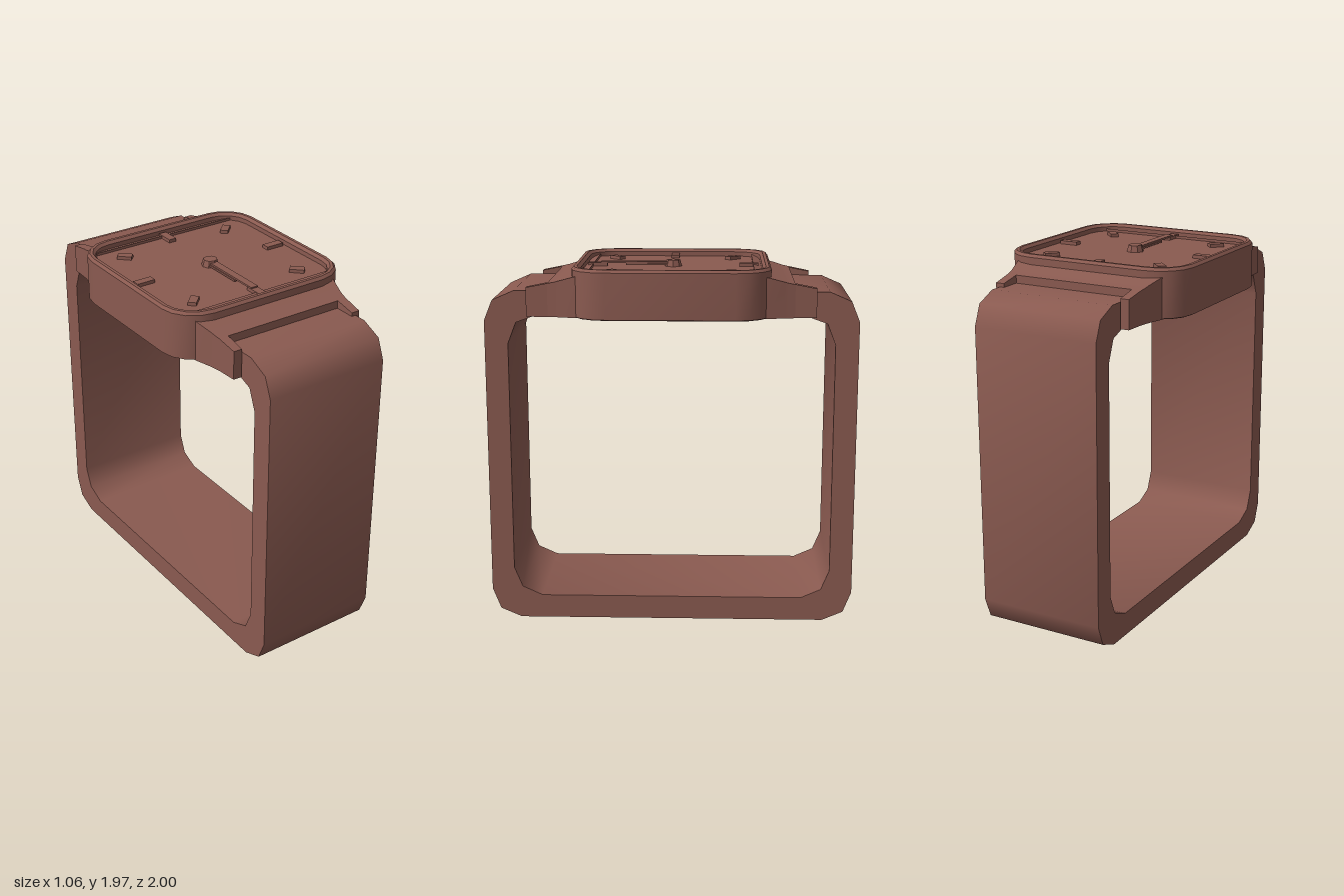
import * as THREE from 'three';
import { toCreasedNormals } from 'three/addons/utils/BufferGeometryUtils.js';

const material = new THREE.MeshStandardMaterial({ color: 0x8a5a50 });
const DIAL_Y = 1.93;

function addMesh(parent, name, geometry) {
  const mesh = new THREE.Mesh(geometry, material);
  mesh.name = name;
  parent.add(mesh);
  return mesh;
}

// Rounded-square loop of half size h, its corner radius shrinking with h
function roundedSquare(h, segments = 4) {
  const r = Math.min(h, Math.max(0.19 - (0.53 - h), 0.005));
  const points = [];
  for (let q = 0; q < 4; q++) {
    const mid = (q + 0.5) * Math.PI / 2;
    const cx = Math.sign(Math.cos(mid)) * (h - r);
    const cz = Math.sign(Math.sin(mid)) * (h - r);
    for (let i = 0; i <= segments; i++) {
      const a = (q + i / segments) * Math.PI / 2;
      points.push([cx + r * Math.cos(a), cz + r * Math.sin(a)]);
    }
  }
  return points;
}

// Case with rim and sunken dial, lofted from [half size, y] steps
function caseGeometry() {
  const profile = [
    [0.001, 1.705], [0.52, 1.705], [0.53, 1.71], [0.53, 1.955], [0.517, 1.97],
    [0.5, 1.97], [0.485, 1.955], [0.485, DIAL_Y], [0.001, DIAL_Y],
  ];
  const positions = [], indices = [];
  const n = roundedSquare(0.5).length;
  for (const [h, y] of profile) {
    for (const [x, z] of roundedSquare(h)) positions.push(x, y, z);
  }
  for (let i = 0; i < profile.length - 1; i++) {
    for (let j = 0; j < n; j++) {
      const a = i * n + j, b = i * n + (j + 1) % n;
      indices.push(a, a + n, b, b, a + n, b + n);
    }
  }
  const geometry = new THREE.BufferGeometry();
  geometry.setAttribute('position', new THREE.Float32BufferAttribute(positions, 3));
  geometry.setIndex(indices);
  return toCreasedNormals(geometry, 0.6);
}

// Strap: C-shaped side profile with bevelled corners, extruded across x
function strapGeometry() {
  const outer = [[0.5, 1.84], [0.84, 1.84], [0.955, 1.79], [1, 1.68],
    [1, 0.165], [0.955, 0.05], [0.84, 0]];
  const inner = [[0.72, 0.13], [0.83, 0.18], [0.875, 0.29],
    [0.875, 1.555], [0.83, 1.67], [0.72, 1.71], [0.5, 1.71]];
  const mirror = (list) => list.map(([z, y]) => [-z, y]).reverse();
  const outline = [...outer, ...mirror(outer), ...mirror(inner), ...inner];
  const shape = new THREE.Shape(outline.map(([z, y]) => new THREE.Vector2(z, y)));
  const geometry = new THREE.ExtrudeGeometry(shape, { depth: 0.71, bevelEnabled: false });
  geometry.rotateY(-Math.PI / 2).translate(0.37, 0, 0);
  return toCreasedNormals(geometry, 0.85);
}

// Straight interpolation through [z, value] pairs
function sample(pairs, z) {
  for (let i = 1; i < pairs.length; i++) {
    const [z0, v0] = pairs[i - 1], [z1, v1] = pairs[i];
    if (z <= z1) return THREE.MathUtils.mapLinear(z, z0, z1, v0, v1);
  }
  return pairs[pairs.length - 1][1];
}
const lugTop = [[0.44, 1.945], [0.5, 1.925], [0.62, 1.89], [0.77, 1.86]];
const lugSide = [[0.44, 0.44], [0.5, 0.435], [0.6, 0.408], [0.66, 0.398], [0.77, 0.393]];

// Box reshaped to the lug's sloping top and tapering sides
function lugGeometry(zs, leftX, rightX) {
  const geometry = new THREE.BoxGeometry(1, 1, 1, 1, 1, zs.length - 1);
  const p = geometry.attributes.position;
  for (let i = 0; i < p.count; i++) {
    const z = zs[Math.round((p.getZ(i) + 0.5) * (zs.length - 1))];
    const x = p.getX(i) < 0 ? leftX(z) : rightX(z);
    p.setXYZ(i, x, p.getY(i) < 0 ? 1.705 : sample(lugTop, z), z);
  }
  return toCreasedNormals(geometry, 0.5);
}

function createLug() {
  const lug = new THREE.Group();
  const side = (z) => sample(lugSide, z);
  addMesh(lug, 'lugBody', lugGeometry([0.44, 0.5, 0.6, 0.62, 0.655], (z) => -side(z), side));
  addMesh(lug, 'lugTabLeft', lugGeometry([0.655, 0.77], () => 0.345, side));
  addMesh(lug, 'lugTabRight', lugGeometry([0.655, 0.77], (z) => -side(z), () => -0.345));
  return lug;
}

export function createModel() {
  const model = new THREE.Group();
  model.name = 'wristwatch';
  addMesh(model, 'strap', strapGeometry());
  addMesh(model, 'case', caseGeometry());

  // Lugs at the front and back of the case
  for (const [name, turn] of [['frontLug', 0], ['backLug', Math.PI]]) {
    const lug = createLug();
    lug.name = name;
    lug.rotation.y = turn;
    model.add(lug);
  }

  // Hour markers: long on the axes, short on the diagonals
  const markers = new THREE.Group();
  markers.name = 'hourMarkers';
  model.add(markers);
  for (let i = 0; i < 8; i++) {
    const diagonal = i % 2 === 1;
    const length = diagonal ? 0.08 : 0.105;
    const geometry = new THREE.BoxGeometry(0.045, 0.025, length);
    geometry.translate(0, DIAL_Y + 0.006, diagonal ? 0.467 : 0.417);
    addMesh(markers, 'hourMarker', geometry).rotation.y = i * Math.PI / 4;
  }

  // Hands pointing to the front, with the centre pin
  const hand = (name, width, length, y) => addMesh(model, name,
    new THREE.BoxGeometry(width, 0.01, length).translate(0, y, length / 2));
  hand('hourHand', 0.055, 0.26, DIAL_Y + 0.012);
  hand('minuteHand', 0.042, 0.4, DIAL_Y + 0.021);
  const pin = new THREE.CylinderGeometry(0.038, 0.048, 0.036, 8);
  addMesh(model, 'centrePin', toCreasedNormals(pin.translate(0, DIAL_Y + 0.017, 0), 0.6));
  return model;
}
